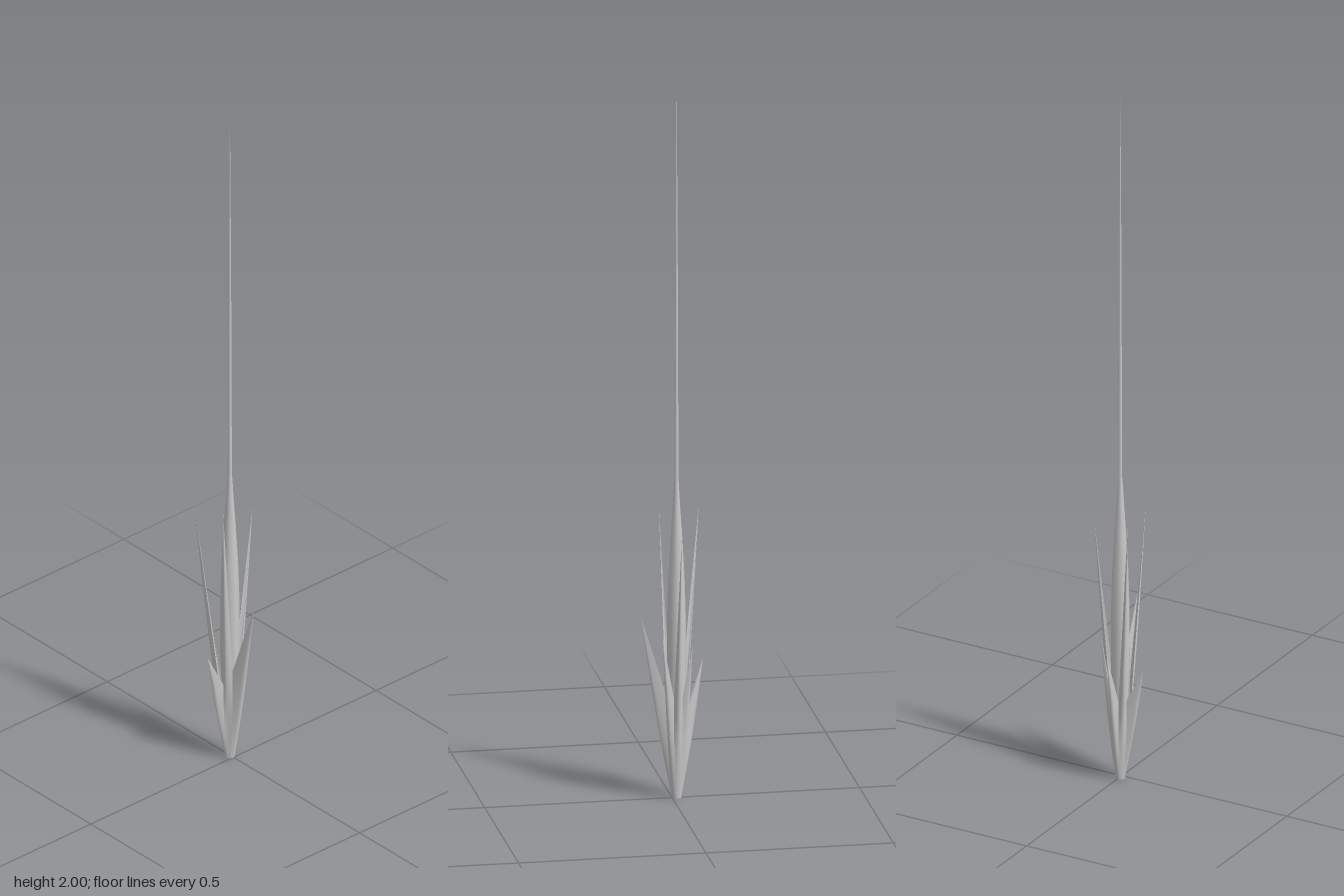
import * as THREE from 'three';

const CX = -0.012, CZ = 0.002, BASE_R = 0.013;
const material = new THREE.MeshStandardMaterial({ color: 0xcccccc, side: THREE.DoubleSide });

// Sepal tips in order around the stem: x, y, z
const TIPS = [
  [0.083, 0.5, 0], [0.032, 0.45, -0.042], [-0.012, 0.73, -0.077], [-0.048, 0.42, -0.036],
  [-0.083, 0.38, 0.002], [-0.083, 0.78, 0.066], [-0.017, 0.33, 0.075], [0.025, 0.79, 0.058],
].map((p) => new THREE.Vector3(...p));

const angleOf = (p) => Math.atan2(p.z - CZ, p.x - CX);
const polar = (a, r, y) => new THREE.Vector3(CX + r * Math.cos(a), y, CZ + r * Math.sin(a));

// Angle and height of the notch between sepal i and the next
function notch(i) {
  const a = TIPS[i], b = TIPS[(i + 1) % TIPS.length];
  const ang = angleOf(a) + Math.atan2(Math.sin(angleOf(b) - angleOf(a)), Math.cos(angleOf(b) - angleOf(a))) / 2;
  return { ang, point: polar(ang, 0.03, Math.min(a.y, b.y) < 0.4 ? 0.235 : 0.28) };
}

// Edge of a sepal: up the cup to the notch, then on to the tip
function edgePoint(n, tip, t) {
  const split = 0.5;
  if (t > split) return n.point.clone().lerp(tip, (t - split) / (1 - split));
  const s = t / split;
  const p = polar(n.ang, BASE_R, 0).lerp(n.point, s);
  const bulge = 0.005 * Math.sin(Math.PI * s);
  p.x += bulge * Math.cos(n.ang);
  p.z += bulge * Math.sin(n.ang);
  return p;
}

// One folded, tapering sepal made of rows running left edge - ridge - right edge
function sepal(i) {
  const tip = TIPS[i], ang = angleOf(tip);
  const left = notch((i + TIPS.length - 1) % TIPS.length), right = notch(i);
  const rows = 12, cols = 4, pos = [], index = [];
  for (let r = 0; r <= rows; r++) {
    const t = r / rows;
    const l = edgePoint(left, tip, t), q = edgePoint(right, tip, t);
    const y = (l.y + q.y) / 2, f = y / tip.y;
    const ridge = polar(ang, BASE_R, 0).lerp(tip, f);
    const bulge = 0.004 * Math.sin(Math.PI * f);
    ridge.x += bulge * Math.cos(ang);
    ridge.z += bulge * Math.sin(ang);
    // Control point that makes the rounded cross-section pass through the ridge
    const c = ridge.multiplyScalar(2).addScaledVector(l, -0.5).addScaledVector(q, -0.5);
    const curve = new THREE.QuadraticBezierCurve3(l, c, q);
    for (let k = 0; k <= cols; k++) pos.push(...curve.getPoint(k / cols).toArray());
  }
  for (let r = 0; r < rows; r++) {
    for (let k = 0; k < cols; k++) {
      const a = r * (cols + 1) + k, b = a + cols + 1;
      index.push(a, b, a + 1, a + 1, b, b + 1);
    }
  }
  const g = new THREE.BufferGeometry();
  g.setAttribute('position', new THREE.Float32BufferAttribute(pos, 3));
  g.setIndex(index);
  g.computeVertexNormals();
  return new THREE.Mesh(g, material);
}

function lathe(name, profile, sides) {
  const g = new THREE.LatheGeometry(profile.map(([r, y]) => new THREE.Vector2(r, y)), sides);
  const mesh = new THREE.Mesh(g, material);
  mesh.name = name;
  mesh.position.set(CX, 0, CZ);
  return mesh;
}

export function createModel() {
  const model = new THREE.Group();
  model.name = 'flowerCalyx';

  // Cup of eight uneven pointed sepals
  const calyx = new THREE.Group();
  calyx.name = 'calyx';
  TIPS.forEach((_, i) => {
    const s = sepal(i);
    s.name = `sepal${i + 1}`;
    calyx.add(s);
  });
  model.add(calyx);

  // Closed bottom of the cup
  model.add(lathe('calyxBase', [[0, 0], [BASE_R, 0]], 16));

  // Spindle-shaped ovary inside the cup
  model.add(lathe('ovary', [[0, 0.02], [0.009, 0.03], [0.02, 0.18], [0.026, 0.34], [0.025, 0.5],
    [0.022, 0.6], [0.016, 0.71], [0.01, 0.8], [0.006, 0.87]], 8));

  // Long needle-thin style
  model.add(lathe('style', [[0.006, 0.87], [0.005, 1.1], [0.004, 1.4], [0.003, 1.6], [0.002, 1.75],
    [0.001, 1.9], [0, 2]], 6));

  return model;
}
